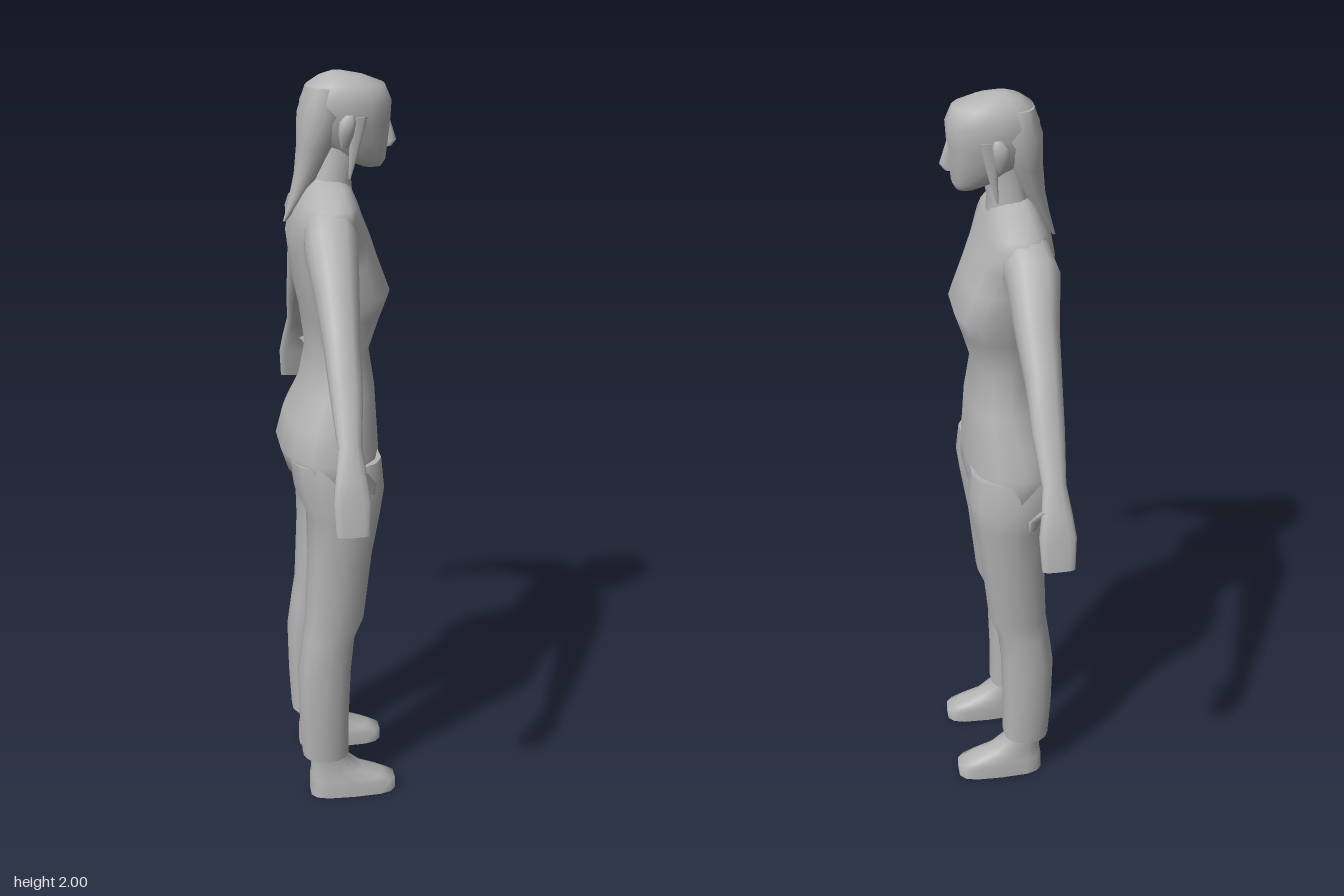
import * as THREE from 'three';

const SEGMENTS = 14;
const grey = new THREE.MeshStandardMaterial({ color: 0xb4b4b4 });
grey.name = 'plain grey';

// Loft of closed rings, listed from bottom to top.
// Each ring: [xBack, xFront, yA, zA, yB, zB, squareness], A being the +z end.
function loft(name, rings) {
  const pos = [], index = [];
  const ringPoints = rings.map(([xb, xf, ya, za, yb, zb, power = 0.85]) => {
    const pts = [];
    for (let j = 0; j < SEGMENTS; j++) {
      const t = (j / SEGMENTS) * Math.PI * 2;
      const c = Math.cos(t), s = Math.sin(t);
      const u = Math.sign(c) * Math.abs(c) ** power;
      const v = Math.sign(s) * Math.abs(s) ** power;
      pts.push([
        (xb + xf) / 2 + (v * (xf - xb)) / 2,
        (ya + yb) / 2 + (u * (ya - yb)) / 2,
        (za + zb) / 2 + (u * (za - zb)) / 2,
      ]);
    }
    return pts;
  });
  ringPoints.forEach((pts) => pts.forEach((p) => pos.push(...p)));
  for (let i = 0; i < rings.length - 1; i++) {
    for (let j = 0; j < SEGMENTS; j++) {
      const k = (j + 1) % SEGMENTS;
      const a = i * SEGMENTS + j, b = i * SEGMENTS + k;
      index.push(a, b, b + SEGMENTS, a, b + SEGMENTS, a + SEGMENTS);
    }
  }
  // End caps have their own vertices so their rims stay sharp
  [0, rings.length - 1].forEach((i) => {
    const start = pos.length / 3;
    ringPoints[i].forEach((p) => pos.push(...p));
    for (let j = 1; j < SEGMENTS - 1; j++) {
      if (i === 0) index.push(start, start + j + 1, start + j);
      else index.push(start, start + j, start + j + 1);
    }
  });
  const geometry = new THREE.BufferGeometry();
  geometry.setAttribute('position', new THREE.Float32BufferAttribute(pos, 3));
  geometry.setIndex(index);
  geometry.computeVertexNormals();
  const mesh = new THREE.Mesh(geometry, grey);
  mesh.name = name;
  return mesh;
}

// Level ring centred on z = 0
const level = (y, xb, xf, z, power) => [xb, xf, y, z, y, -z, power];
// Level ring on the +z side
const side = (y, xb, xf, zIn, zOut, power) => [xb, xf, y, zOut, y, zIn, power];
const mirror = (rings) => rings.map(([xb, xf, ya, za, yb, zb, p]) => [xb, xf, yb, -zb, ya, -za, p]);

export function createModel() {
  const model = new THREE.Group();
  model.name = 'standingWoman';
  const add = (name, rings) => model.add(loft(name, rings));
  const addPair = (name, rings) => {
    add(name + 'PlusZ', rings);
    add(name + 'MinusZ', mirror(rings));
  };

  add('torso', [
    level(0.955, -0.10, 0.085, 0.19),
    level(0.98, -0.14, 0.105, 0.218),
    level(1.04, -0.16, 0.105, 0.213),
    level(1.12, -0.14, 0.10, 0.19),
    level(1.20, -0.10, 0.095, 0.165),
    level(1.30, -0.082, 0.08, 0.13),
    level(1.40, -0.095, 0.11, 0.148, 0.75),
    level(1.46, -0.108, 0.13, 0.165, 0.7),
    level(1.54, -0.12, 0.10, 0.17, 0.75),
    level(1.60, -0.128, 0.08, 0.182),
    level(1.66, -0.115, 0.055, 0.215),
    level(1.69, -0.10, 0.045, 0.19),
    level(1.725, -0.08, 0.03, 0.11),
    level(1.742, -0.065, 0.01, 0.05),
  ]);

  addPair('leg', [
    side(0.13, -0.115, 0.015, 0.06, 0.185),
    side(0.25, -0.122, 0.015, 0.058, 0.19),
    side(0.40, -0.125, 0.02, 0.055, 0.194),
    side(0.50, -0.112, 0.03, 0.048, 0.193),
    side(0.56, -0.103, 0.055, 0.043, 0.195),
    side(0.75, -0.095, 0.075, 0.028, 0.207),
    side(0.88, -0.098, 0.097, 0.013, 0.22),
    side(0.95, -0.13, 0.107, 0.008, 0.224),
    side(1.03, -0.14, 0.10, 0.008, 0.208),
  ]);

  addPair('foot', [
    side(0, -0.095, 0.15, 0.078, 0.177, 0.6),
    side(0.035, -0.095, 0.15, 0.078, 0.175, 0.65),
    side(0.052, -0.095, 0.115, 0.08, 0.172, 0.7),
    side(0.075, -0.092, 0.06, 0.082, 0.168),
    side(0.115, -0.09, 0.01, 0.085, 0.165),
    side(0.17, -0.09, 0.005, 0.085, 0.165),
  ]);

  // Arm rings run from the finger tips to inside the shoulder
  addPair('arm', [
    [-0.085, -0.005, 1.02, 0.578, 1.02, 0.552, 0.6],
    [-0.09, 0.0, 1.10, 0.565, 1.10, 0.532, 0.7],
    [-0.082, -0.008, 1.16, 0.546, 1.15, 0.515],
    [-0.072, -0.015, 1.23, 0.513, 1.195, 0.488],
    [-0.08, -0.002, 1.35, 0.445, 1.285, 0.42],
    [-0.085, 0.002, 1.45, 0.39, 1.375, 0.335],
    [-0.092, 0.012, 1.555, 0.315, 1.45, 0.262],
    [-0.108, 0.022, 1.67, 0.24, 1.54, 0.175],
    [-0.10, 0.03, 1.70, 0.15, 1.56, 0.10],
  ]);
  addPair('thumb', [
    [0.0, 0.016, 1.095, 0.508, 1.092, 0.496],
    [-0.012, 0.018, 1.13, 0.522, 1.12, 0.502],
    [-0.045, -0.005, 1.165, 0.54, 1.155, 0.515],
  ]);

  add('neck', [
    level(1.68, -0.08, 0.04, 0.075),
    level(1.74, -0.065, 0.035, 0.056),
    level(1.84, -0.045, 0.055, 0.05),
  ]);

  add('head', [
    level(1.768, 0.06, 0.112, 0.028),
    level(1.785, 0.015, 0.122, 0.048),
    level(1.83, -0.055, 0.127, 0.066),
    level(1.88, -0.09, 0.132, 0.08),
    level(1.93, -0.092, 0.135, 0.084),
    level(1.97, -0.075, 0.118, 0.068),
    level(1.99, -0.045, 0.065, 0.042),
    level(2.0, -0.015, 0.015, 0.015),
  ]);
  add('nose', [
    level(1.815, 0.11, 0.138, 0.014),
    level(1.83, 0.11, 0.15, 0.013),
    level(1.885, 0.11, 0.132, 0.006),
  ]);

  // Hair falls down the back of the neck to a point
  add('backHair', [
    level(1.632, -0.136, -0.128, 0.005),
    level(1.69, -0.12, -0.085, 0.03),
    level(1.75, -0.107, -0.045, 0.045),
    level(1.82, -0.10, -0.01, 0.066),
    level(1.90, -0.098, 0.02, 0.084),
    level(1.965, -0.078, 0.01, 0.066),
  ]);
  addPair('ear', [
    side(1.825, 0.0, 0.02, 0.06, 0.078),
    side(1.86, -0.008, 0.03, 0.065, 0.097),
    side(1.89, -0.005, 0.035, 0.07, 0.096),
    side(1.905, 0.01, 0.03, 0.07, 0.085),
  ]);
  addPair('sideLock', [
    side(1.75, 0.018, 0.024, 0.072, 0.077),
    side(1.81, 0.02, 0.042, 0.068, 0.08),
    side(1.90, 0.02, 0.065, 0.066, 0.084),
  ]);

  return model;
}
